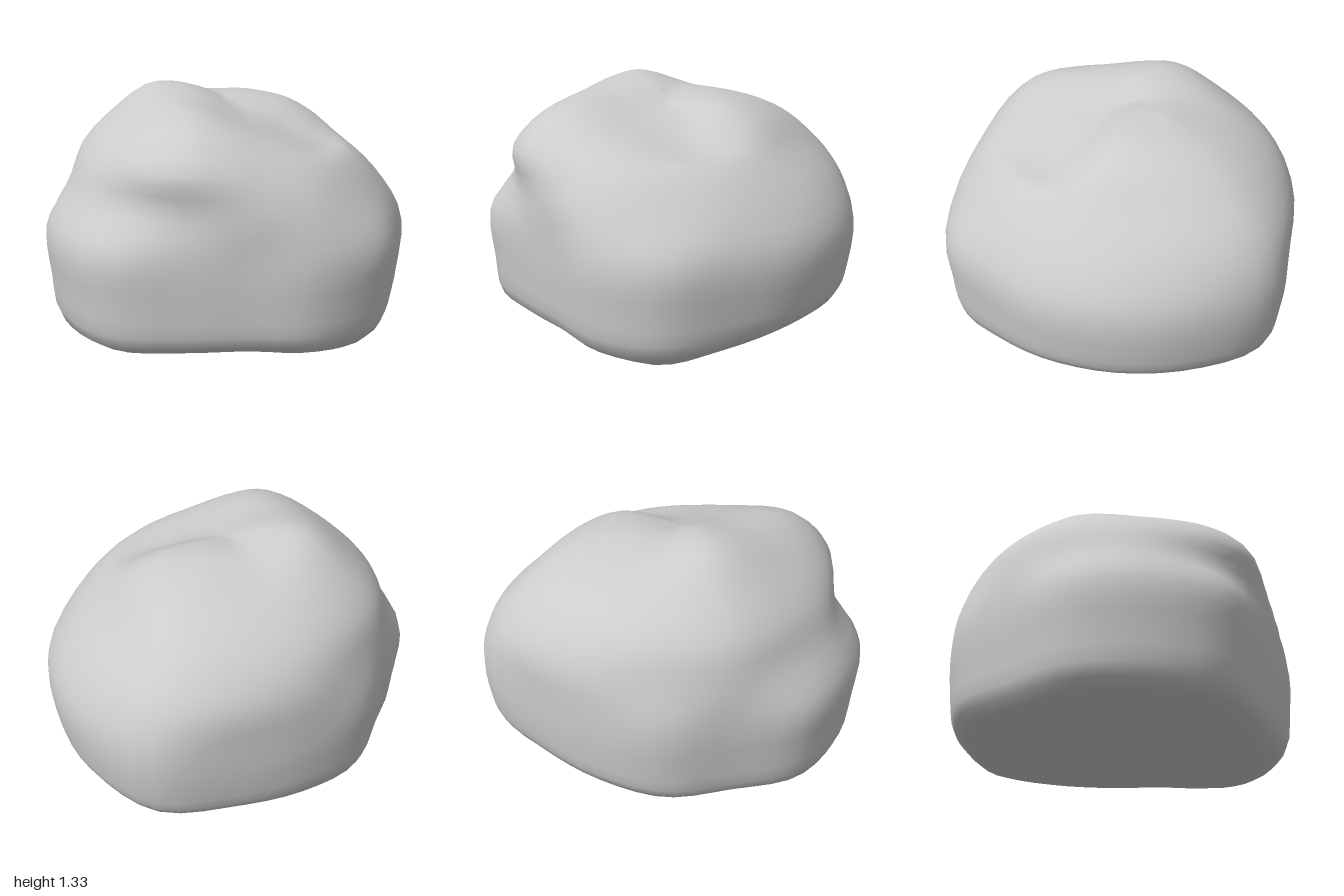
import * as THREE from 'three';

const AROUND = 56, UP = 36;

// Radii of three key outlines, starting at +x and turning towards +z
const WALL = [.995, .96, .93, .97, .92, .82, .85, .98, 1, 1, .92, .96, .95, .98, 1.09, 1.04];
const SHOULDER = [.87, .82, .85, .81, .88, .89, .93, 1.02];
const BROW = [.67, .65, .71, .83, .79, .83, .84, .87];

// Contours from the underside up: outline, scale, height, tilt along x
const CONTOURS = [
  [WALL, 0.3, 0.065, 0.01],
  [WALL, 0.7, 0.075, 0.03],
  [WALL, 0.94, 0.15, 0.05],
  [WALL, 0.99, 0.35, 0],
  [WALL, 1, 0.6, 0],
  [SHOULDER, 1, 0.82, 0],
  [BROW, 1, 1.0, 0],
  [BROW, 0.8, 1.13, 0],
  [BROW, 0.55, 1.21, 0],
  [BROW, 0.28, 1.235, 0],
];

// Rises and hollows as x, z, width, height
const TOP_BUMPS = [
  [-0.33, -0.22, 0.28, 0.12], // summit
  [0.28, -0.1, 0.2, 0.04], // second hump
  [-0.4, 0.48, 0.25, 0.05], // front ridge
  [0.2, 0.35, 0.3, -0.14], // hollow above the front shoulder
];
const FOOT_BUMPS = [[0.28, 0.6, 0.35, -0.085]];

function shaped(x, y, z) {
  const bumps = y > 1.1 ? TOP_BUMPS : y < 0.2 ? FOOT_BUMPS : [];
  for (const [cx, cz, w, h] of bumps)
    y += h * Math.exp(-((x - cx) ** 2 + (z - cz) ** 2) / (w * w));
  return new THREE.Vector3(x, y, z);
}

// Smooth closed loop through one contour
function contourLoop([radii, scale, height, tilt]) {
  const pts = radii.map((radius, k) => {
    const a = (k / radii.length) * Math.PI * 2, r = radius * scale;
    return shaped(r * Math.cos(a), height + tilt * Math.cos(a), r * Math.sin(a));
  });
  return new THREE.CatmullRomCurve3(pts, true);
}

function boulderGeometry() {
  const loops = CONTOURS.map(contourLoop);
  const bottom = shaped(0, 0.065, 0), top = shaped(0, 1.225, 0);

  // Smooth ribs running from the bottom pole to the top pole
  const ribs = [];
  for (let j = 0; j < AROUND; j++) {
    const pts = loops.map((loop) => loop.getPoint(j / AROUND));
    ribs.push(new THREE.CatmullRomCurve3([bottom, ...pts, top]));
  }

  const points = [bottom];
  for (let i = 1; i < UP; i++) for (const rib of ribs) points.push(rib.getPoint(i / UP));
  points.push(top);

  // Skin between the ribs, closed by a fan at each pole
  const id = (i, j) =>
    i === 0 ? 0 : i === UP ? points.length - 1 : 1 + (i - 1) * AROUND + (j % AROUND);
  const index = [];
  for (let i = 0; i < UP; i++)
    for (let j = 0; j < AROUND; j++) {
      const a = id(i, j), b = id(i, j + 1), c = id(i + 1, j + 1), d = id(i + 1, j);
      if (i > 0) index.push(a, d, b);
      if (i < UP - 1) index.push(b, d, c);
    }

  const geo = new THREE.BufferGeometry().setFromPoints(points);
  geo.setIndex(index);
  geo.computeVertexNormals();
  return geo;
}

export function createModel() {
  const group = new THREE.Group();
  group.name = 'rock';
  const boulder = new THREE.Mesh(boulderGeometry(), new THREE.MeshStandardMaterial({ color: 0xcccccc }));
  boulder.name = 'boulder';
  group.add(boulder);
  return group;
}
